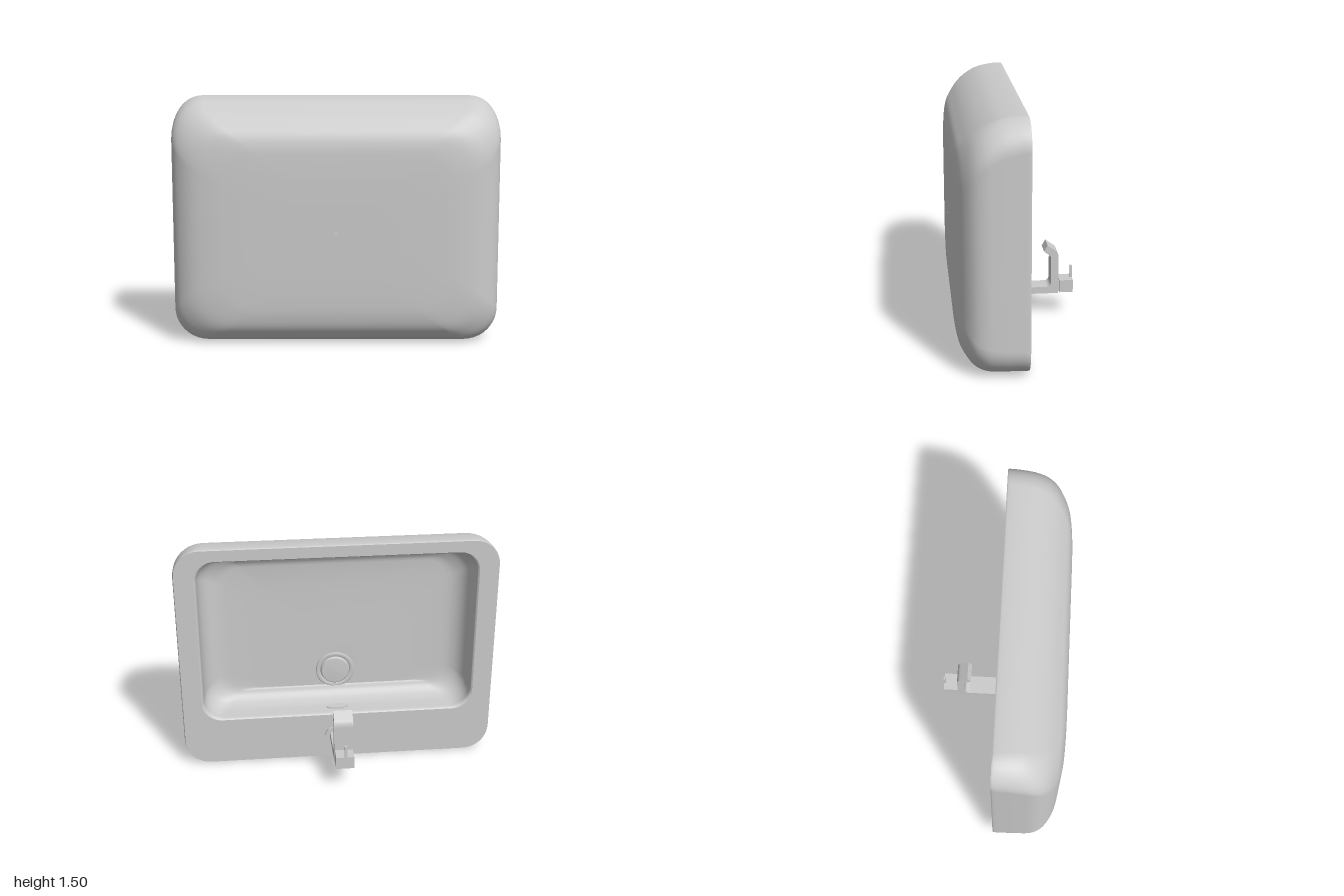
import * as THREE from 'three';

const material = new THREE.MeshStandardMaterial({ color: 0xcccccc });
const CORNER = 10;

// Rounded rectangle in the xy plane, counter-clockwise seen from +z.
function ring([z, hx, y0, y1, r]) {
  const points = [];
  const corners = [[hx - r, y1 - r], [r - hx, y1 - r], [r - hx, y0 + r], [hx - r, y0 + r]];
  corners.forEach(([cx, cy], k) => {
    for (let i = 0; i <= CORNER; i++) {
      const a = (k + i / CORNER) * Math.PI / 2;
      points.push(new THREE.Vector3(cx + r * Math.cos(a), cy + r * Math.sin(a), z));
    }
  });
  return points;
}

// Skin a list of rings, splining each column of points between them.
function loft(sections, steps) {
  const rings = sections.map(ring);
  const n = rings[0].length;
  const rows = steps + 1;
  const positions = [];
  const index = [];
  for (let j = 0; j < n; j++) {
    const column = new THREE.CatmullRomCurve3(rings.map((r) => r[j]));
    column.getPoints(steps).forEach((p) => positions.push(p.x, p.y, p.z));
  }
  for (let j = 0; j < n; j++) {
    const a = j * rows;
    const b = ((j + 1) % n) * rows;
    for (let i = 0; i < steps; i++) {
      index.push(a + i, b + i, b + i + 1, a + i, b + i + 1, a + i + 1);
    }
  }
  const geometry = new THREE.BufferGeometry();
  geometry.setAttribute('position', new THREE.Float32BufferAttribute(positions, 3));
  geometry.setIndex(index);
  geometry.computeVertexNormals();
  return geometry;
}

function add(parent, name, geometry, x = 0, y = 0, z = 0) {
  const mesh = new THREE.Mesh(geometry, material);
  mesh.name = name;
  mesh.position.set(x, y, z);
  parent.add(mesh);
  return mesh;
}

function createBasin() {
  const basin = new THREE.Group();
  basin.name = 'basin';

  // Each section: z, half width, lowest y, highest y, corner radius
  const rimInner = [-0.02, 0.875, 0.32, 1.425, 0.13];
  const rimOuter = [-0.02, 0.994, 0.008, 1.496, 0.16];
  add(basin, 'bowl', loft([
    [0.212, 0.002, 0.528, 0.532, 0.002],
    [0.21, 0.13, 0.43, 0.66, 0.11],
    [0.2, 0.7, 0.415, 1.29, 0.12],
    [0.185, 0.765, 0.385, 1.33, 0.14],
    [0.15, 0.815, 0.355, 1.375, 0.14],
    [0.1, 0.845, 0.338, 1.4, 0.14],
    [0.04, 0.858, 0.332, 1.412, 0.13],
    [-0.01, 0.864, 0.328, 1.418, 0.13],
    rimInner,
  ], 48));
  add(basin, 'rim', loft([rimInner, rimOuter], 1));
  add(basin, 'outerShell', loft([
    rimOuter,
    [-0.012, 0.998, 0.004, 1.5, 0.17],
    [0.05, 1, 0.003, 1.499, 0.18],
    [0.15, 1, 0, 1.48, 0.19],
    [0.23, 0.995, 0.004, 1.44, 0.2],
    [0.29, 0.97, 0.025, 1.393, 0.21],
    [0.34, 0.915, 0.07, 1.335, 0.22],
    [0.37, 0.85, 0.115, 1.29, 0.22],
    [0.39, 0.74, 0.19, 1.22, 0.22],
    [0.397, 0.6, 0.28, 1.12, 0.2],
    [0.4, 0.4, 0.45, 0.95, 0.15],
    [0.4, 0.002, 0.698, 0.702, 0.002],
  ], 60));

  // Drain: turned flange with a raised plug, facing the opening
  const drainProfile = [[0.125, 0], [0.125, 0.01], [0.12, 0.014], [0.1, 0.014], [0.097, 0.006],
    [0.094, 0.006], [0.092, 0.02], [0.085, 0.024], [0, 0.026]];
  const drain = add(basin, 'drain',
    new THREE.LatheGeometry(drainProfile.map(([x, y]) => new THREE.Vector2(x, y)), 40), 0, 0.53, 0.213);
  drain.rotation.x = -Math.PI / 2;

  // Overflow opening on the wall below the tap
  const overflow = add(basin, 'overflow', new THREE.CylinderGeometry(0.07, 0.07, 0.012, 32), 0, 0.334, 0.06);
  overflow.scale.z = 0.4;
  return basin;
}

// Extrude a shape drawn in (depth, height) across the tap's width.
function extrudeAcross(shape, width) {
  const geometry = new THREE.ExtrudeGeometry(shape, { depth: width, bevelEnabled: false, curveSegments: 8 });
  geometry.translate(0, 0, -width / 2);
  geometry.rotateY(Math.PI / 2); // depth is measured towards -z
  return geometry;
}

function createTap() {
  const tap = new THREE.Group();
  tap.name = 'tap';
  tap.position.x = -0.005;

  // Base plate with arched top
  const plate = new THREE.Shape();
  plate.moveTo(-0.09, 0.12);
  plate.lineTo(0.09, 0.12);
  plate.lineTo(0.09, 0.165);
  plate.quadraticCurveTo(0.09, 0.228, 0.03, 0.228);
  plate.lineTo(-0.03, 0.228);
  plate.quadraticCurveTo(-0.09, 0.228, -0.09, 0.165);
  plate.closePath();
  add(tap, 'basePlate', new THREE.ExtrudeGeometry(plate, { depth: 0.016, bevelEnabled: false }), 0, 0, -0.034);

  // Arm, column and bent spout in one profile
  const body = new THREE.Shape();
  body.moveTo(0.025, 0.15);
  body.lineTo(0.305, 0.15);
  body.lineTo(0.305, 0.39);
  body.quadraticCurveTo(0.305, 0.425, 0.285, 0.44);
  body.lineTo(0.233, 0.477);
  body.lineTo(0.21, 0.437);
  body.lineTo(0.246, 0.409);
  body.quadraticCurveTo(0.257, 0.4, 0.257, 0.38);
  body.lineTo(0.257, 0.23);
  body.quadraticCurveTo(0.257, 0.195, 0.222, 0.195);
  body.lineTo(0.025, 0.195);
  body.closePath();
  add(tap, 'spout', extrudeAcross(body, 0.12));

  // Handle block on a short neck, with a thin lever
  add(tap, 'handleNeck', new THREE.BoxGeometry(0.1, 0.07, 0.02), 0, 0.193, -0.309);
  add(tap, 'handle', new THREE.BoxGeometry(0.114, 0.082, 0.088), 0, 0.194, -0.356);
  add(tap, 'lever', new THREE.BoxGeometry(0.02, 0.085, 0.012), -0.003, 0.272, -0.394);
  return tap;
}

export function createModel() {
  const model = new THREE.Group();
  model.name = 'washbasin';
  model.add(createBasin(), createTap());
  return model;
}
